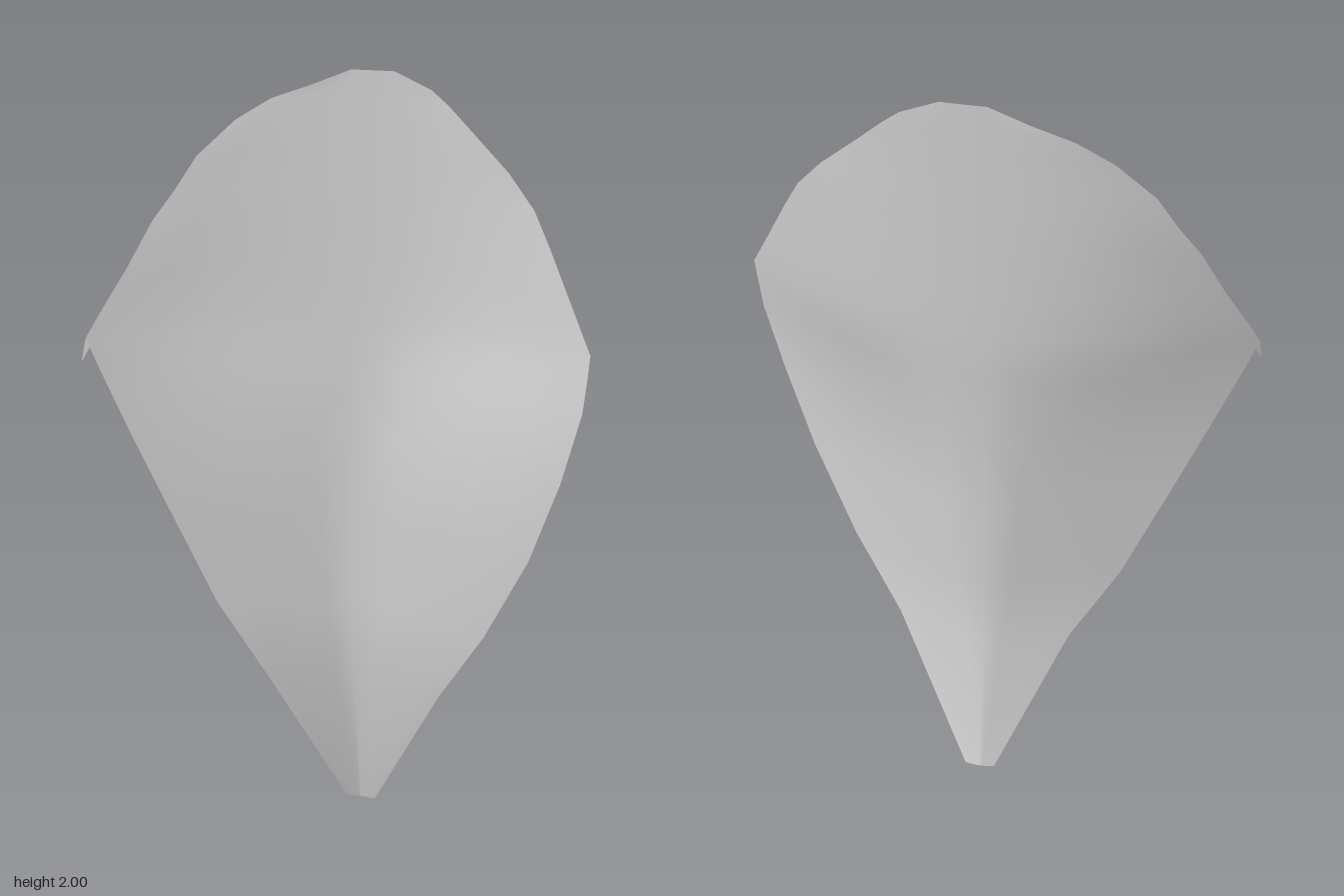
import * as THREE from 'three';

// Cross-sections from base to tip: [y, left x, left z, right x, right z, spine z]
const sections = [
  [0.00, -0.03, -0.15, 0.05, -0.15, -0.155],
  [0.40, -0.21, -0.01, 0.26, 0.00, -0.075],
  [0.61, -0.335, 0.028, 0.39, 0.055, -0.075],
  [0.85, -0.44, 0.06, 0.51, 0.115, -0.075],
  [1.07, -0.535, 0.09, 0.588, 0.148, -0.075],
  [1.25, -0.61, 0.11, 0.635, 0.155, -0.075],
  [1.33, -0.64, 0.12, 0.643, 0.152, -0.075],
  [1.39, -0.61, 0.095, 0.647, 0.145, -0.075],
  [1.50, -0.55, 0.055, 0.588, 0.098, -0.075],
  [1.62, -0.49, 0.018, 0.525, 0.052, -0.075],
  [1.70, -0.435, -0.008, 0.48, 0.022, -0.075],
  [1.78, -0.385, -0.025, 0.41, -0.008, -0.075],
  [1.87, -0.29, -0.05, 0.31, -0.04, -0.075],
  [1.925, -0.20, -0.065, 0.25, -0.055, -0.075],
  [1.96, -0.10, -0.071, 0.205, -0.063, -0.075],
  [2.00, 0.00, -0.075, 0.11, -0.072, -0.075],
];

function sheet(positions, indices) {
  const geometry = new THREE.BufferGeometry();
  geometry.setAttribute('position', new THREE.Float32BufferAttribute(positions, 3));
  geometry.setIndex(indices);
  geometry.computeVertexNormals();
  return geometry;
}

// Blade: a straight-sided V in the lower half that rounds into a cup above
function bladeGeometry() {
  const half = 5, columns = half * 2 + 1, spineX = 0.01;
  const positions = [], indices = [];
  sections.forEach(([y, xl, zl, xr, zr, zs], row) => {
    const power = 1.05 + 1.15 * THREE.MathUtils.smoothstep(y, 1.0, 1.5);
    for (let i = -half; i <= half; i++) {
      const t = Math.abs(i) / half;
      const edgeX = i < 0 ? xl : xr, edgeZ = i < 0 ? zl : zr;
      positions.push(
        THREE.MathUtils.lerp(spineX, edgeX, t), y,
        THREE.MathUtils.lerp(zs, edgeZ, t ** power));
      if (row > 0 && i < half) {
        const b = row * columns + i + half, a = b - columns;
        indices.push(a, a + 1, b + 1, a, b + 1, b);
      }
    }
  });
  return sheet(positions, indices);
}

export function createModel() {
  const petalGrey = new THREE.MeshStandardMaterial({ color: 0xd0d0d0, side: THREE.DoubleSide });
  petalGrey.name = 'petalGrey';
  const model = new THREE.Group();
  model.name = 'petal';

  const blade = new THREE.Mesh(bladeGeometry(), petalGrey);
  blade.name = 'blade';

  // Small corner folded down at the widest point of one edge
  const fold = new THREE.Mesh(sheet([
    -0.64, 1.33, 0.12,
    -0.648, 1.27, 0.133,
    -0.628, 1.31, 0.118,
  ], [0, 1, 2]), petalGrey);
  fold.name = 'foldedCorner';

  model.add(blade, fold);
  return model;
}
